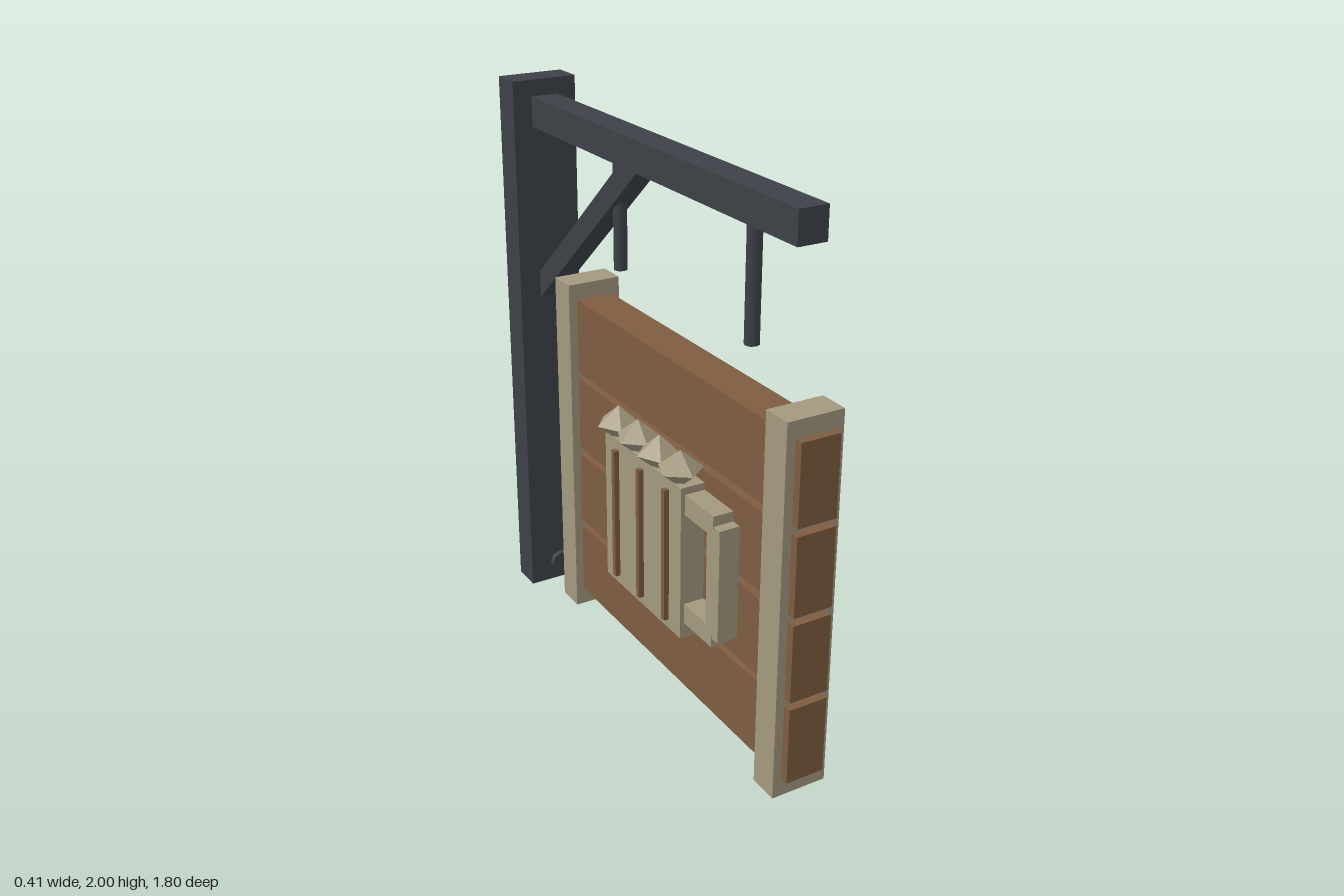
import * as THREE from 'three';

const material = (name, color) => {
  const m = new THREE.MeshStandardMaterial({ color });
  m.name = name;
  return m;
};

export function createModel() {
  const iron = material('dark iron', 0x3d4248);
  const wood = material('brown wood', 0x7e5d41);
  const pale = material('pale wood', 0xa3997f);
  const model = new THREE.Group();
  model.name = 'hangingSign';

  const add = (parent, name, geometry, mat) => {
    const mesh = new THREE.Mesh(geometry, mat);
    mesh.name = name;
    parent.add(mesh);
    return mesh;
  };
  // Box given by its [min, max] on each axis
  const box = (parent, name, mat, [x0, x1], [y0, y1], [z0, z1]) => {
    const mesh = add(parent, name, new THREE.BoxGeometry(x1 - x0, y1 - y0, z1 - z0), mat);
    mesh.position.set((x0 + x1) / 2, (y0 + y1) / 2, (z0 + z1) / 2);
    return mesh;
  };

  // Post and beam
  box(model, 'post', iron, [-0.12, 0.12], [0, 2], [-0.9, -0.787]);
  box(model, 'beam', iron, [-0.05, 0.05], [1.837, 1.942], [-0.79, 0.82]);

  // Diagonal brace, drawn in the z-y plane
  const outline = new THREE.Shape([
    [-0.79, 1.2], [-0.058, 1.838], [-0.175, 1.838], [-0.79, 1.3],
  ].map(([z, y]) => new THREE.Vector2(-z, y)));
  const braceGeometry = new THREE.ExtrudeGeometry(outline, { depth: 0.08, bevelEnabled: false });
  braceGeometry.translate(0, 0, -0.04).rotateY(Math.PI / 2);
  add(model, 'brace', braceGeometry, iron);

  // Hanger rods
  for (const z of [0.545, -0.245]) {
    const rod = add(model, 'hangerRod', new THREE.CylinderGeometry(0.024, 0.024, 0.38, 8), iron);
    rod.position.set(0, 1.65, z);
  }

  // Bolt heads on the post
  for (const y of [0.083, 1.845]) {
    const bolt = add(model, 'bolt', new THREE.CylinderGeometry(0.042, 0.042, 0.022, 8), iron);
    bolt.rotation.x = Math.PI / 2;
    bolt.position.set(0, y, -0.768);
  }

  // Sign board: four planks held by two battens
  const board = new THREE.Group();
  board.name = 'board';
  model.add(board);
  for (const y of [0.145, 0.441, 0.737, 1.033]) {
    box(board, 'plank', wood, [-0.068, 0.068], [y, y + 0.27], [-0.575, 0.903]);
  }
  for (const z of [-0.544, 0.77]) {
    box(board, 'batten', pale, [-0.098, 0.098], [0.08, 1.36], [z, z + 0.104]);
  }

  // Mug relief, facing +x, turned about the y axis for the other side
  const makeMug = () => {
    const mug = new THREE.Group();
    mug.name = 'mug';
    box(mug, 'mugBody', pale, [0.06, 0.154], [0.422, 0.965], [-0.245, 0.245]);
    for (const z of [-0.163, 0, 0.163]) {
      box(mug, 'mugGroove', wood, [0.15, 0.172], [0.455, 0.93], [z - 0.01, z + 0.01]);
    }
    // Handle
    box(mug, 'handleTop', pale, [0.06, 0.14], [0.87, 0.94], [-0.41, -0.24]);
    box(mug, 'handleBottom', pale, [0.06, 0.14], [0.477, 0.547], [-0.41, -0.24]);
    box(mug, 'handleGrip', pale, [0.06, 0.1395], [0.51, 0.905], [-0.446, -0.374]);
    // Foam: five-sided bipyramids, each turned differently
    [[0.2, -5], [0.072, 12], [-0.065, -8], [-0.195, 18]].forEach(([z, turn]) => {
      const geometry = new THREE.SphereGeometry(1, 5, 2).toNonIndexed();
      geometry.scale(0.076, 0.064, 0.076);
      geometry.computeVertexNormals();
      const foam = add(mug, 'foam', geometry, pale);
      foam.position.set(0.127, 1.007, z);
      foam.rotation.y = Math.PI + THREE.MathUtils.degToRad(turn);
    });
    return mug;
  };
  for (const angle of [0, Math.PI]) {
    const mug = makeMug();
    mug.rotation.y = angle;
    mug.position.z = 0.163;
    model.add(mug);
  }

  return model;
}
